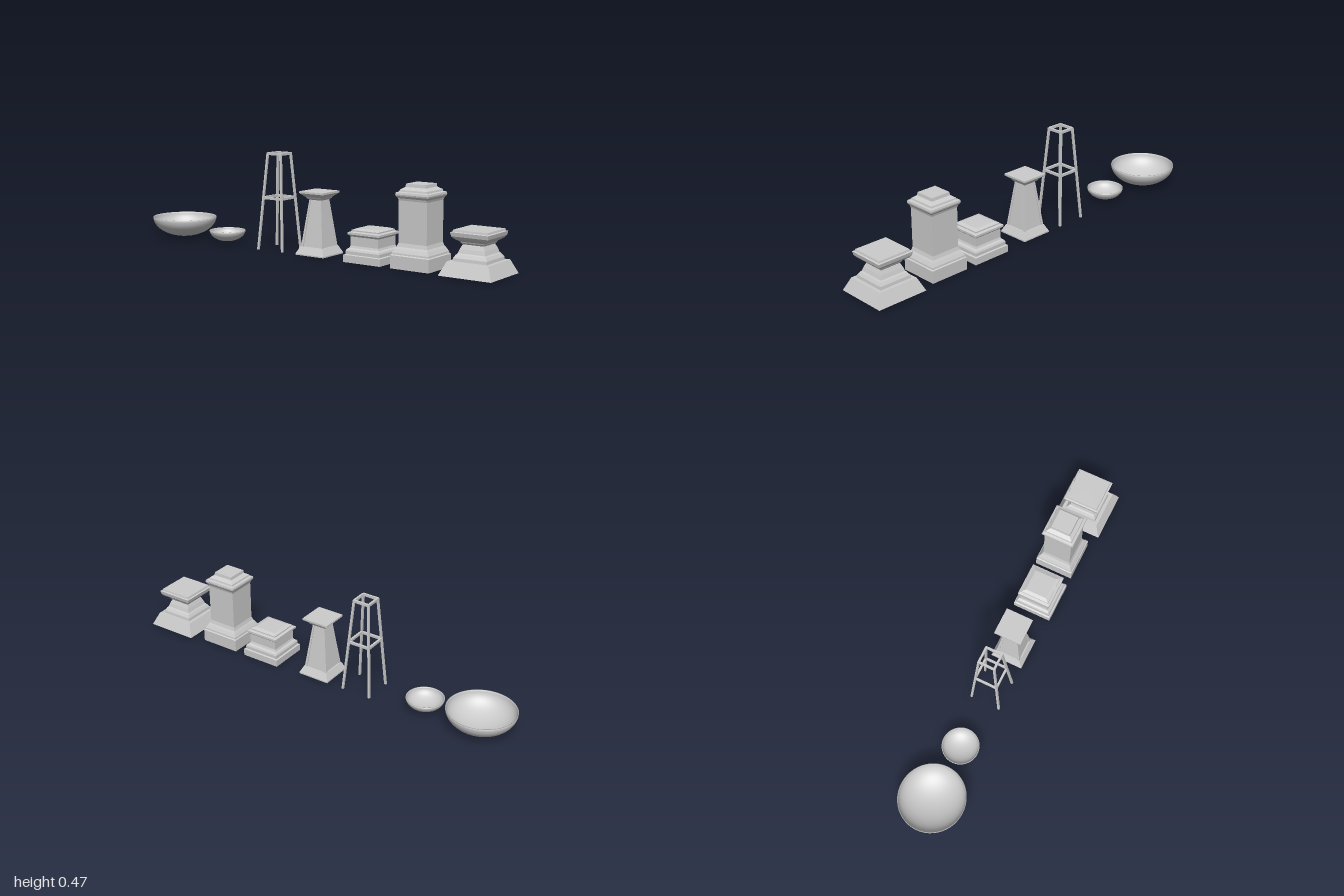
import * as THREE from 'three';

const smooth = new THREE.MeshStandardMaterial({ color: 0xcccccc, side: THREE.DoubleSide });
const flat = new THREE.MeshStandardMaterial({ color: 0xcccccc, flatShading: true });

// Square moulding: profile of [half width, height] swept round four sides
function squareLoft(name, profile, sx = 1, sz = 1) {
  const pts = [[0, profile[0][1]], ...profile, [0, profile[profile.length - 1][1]]]
    .map(([w, y]) => new THREE.Vector2(w * Math.SQRT2, y));
  const geo = new THREE.LatheGeometry(pts, 4, Math.PI / 4).toNonIndexed();
  geo.computeVertexNormals();
  geo.scale(sx, 1, sz);
  const mesh = new THREE.Mesh(geo, flat);
  mesh.name = name;
  return mesh;
}

// Thin-walled bowl with a rounded belly
function bowl(name, x, rx, rz, y0, y1) {
  const pts = [], steps = 16, wall = 0.004, h = y1 - y0;
  const arc = (r, d, i) => {
    const a = (i / steps) * Math.PI / 2;
    return new THREE.Vector2(r * Math.sin(a), y1 - d * Math.cos(a));
  };
  for (let i = 0; i <= steps; i++) pts.push(arc(rx, h, i));
  for (let i = steps; i >= 0; i--) pts.push(arc(rx - wall, h - wall, i));
  const mesh = new THREE.Mesh(new THREE.LatheGeometry(pts, 48), smooth);
  mesh.scale.z = rz / rx;
  mesh.position.x = x;
  mesh.name = name;
  return mesh;
}

// Square-section bar between two points
function bar(name, a, b, t, h = t) {
  const dir = b.clone().sub(a);
  const mesh = new THREE.Mesh(new THREE.BoxGeometry(t, h, dir.length()), flat);
  mesh.position.copy(a).add(b).multiplyScalar(0.5);
  mesh.lookAt(b);
  mesh.name = name;
  return mesh;
}

// Tall open stand: four splayed legs and two square frames
function stand() {
  const g = new THREE.Group();
  g.name = 'stand';
  const t = 0.01;
  const half = y => 0.073 - 0.073 * y;
  const corner = (i, y) => {
    const a = Math.PI / 4 + i * Math.PI / 2, r = half(y) * Math.SQRT2;
    return new THREE.Vector3(r * Math.cos(a), y, r * Math.sin(a));
  };
  for (let i = 0; i < 4; i++) {
    const foot = corner(i, 0), head = corner(i, 0.47);
    // sheared box keeps the leg section square to the axes
    const geo = new THREE.BoxGeometry(t, 0.47, t);
    const p = geo.attributes.position;
    for (let k = 0; k < p.count; k++) {
      const c = p.getY(k) < 0 ? foot : head;
      p.setXYZ(k, p.getX(k) + c.x, c.y, p.getZ(k) + c.z);
    }
    geo.computeVertexNormals();
    const leg = new THREE.Mesh(geo, flat);
    leg.name = 'standLeg';
    g.add(leg);
    g.add(bar('standTopRail', corner(i, 0.465), corner(i + 1, 0.465), t, 0.012));
    g.add(bar('standMiddleRail', corner(i, 0.252), corner(i + 1, 0.252), t, 0.012));
  }
  g.position.x = -0.217;
  return g;
}

// Tapered pedestal with raised corner strips and a flared cap
function taperedPedestal() {
  const g = new THREE.Group();
  g.name = 'taperedPedestal';
  g.add(squareLoft('taperedBase', [[0.081, 0], [0.081, 0.006], [0.064, 0.04]]));
  g.add(squareLoft('taperedBody', [[0.058, 0.035], [0.03, 0.268]]));
  const y0 = 0.038, y1 = 0.268, w0 = 0.062, w1 = 0.033;
  for (const sx of [-1, 1]) for (const sz of [-1, 1]) {
    const geo = new THREE.BoxGeometry(1, 1, 1);
    const p = geo.attributes.position;
    for (let k = 0; k < p.count; k++) {
      const top = p.getY(k) > 0, w = top ? w1 : w0, s = top ? 0.008 : 0.012;
      p.setXYZ(k, sx * (w - s / 2) + p.getX(k) * s, top ? y1 : y0, sz * (w - s / 2) + p.getZ(k) * s);
    }
    geo.computeVertexNormals();
    const strip = new THREE.Mesh(geo, flat);
    strip.name = 'taperedCornerStrip';
    g.add(strip);
  }
  g.add(squareLoft('taperedCap', [[0.034, 0.262], [0.042, 0.268], [0.046, 0.275],
    [0.062, 0.288], [0.068, 0.293], [0.068, 0.302]]));
  g.position.x = 0.022;
  return g;
}

export function createModel() {
  const model = new THREE.Group();
  model.name = 'pedestalsAndBowls';

  model.add(bowl('largeBowl', -0.836, 0.164, 0.16, 0.005, 0.104));
  model.add(bowl('smallBowl', -0.548, 0.09, 0.09, 0.005, 0.06));
  model.add(stand());
  model.add(taperedPedestal());

  // Low square plinth
  const low = squareLoft('lowPlinth', [[0.1, 0], [0.1, 0.034], [0.092, 0.037], [0.092, 0.052],
    [0.088, 0.06], [0.079, 0.066], [0.075, 0.076], [0.075, 0.118], [0.079, 0.124],
    [0.086, 0.128], [0.086, 0.138], [0.073, 0.142], [0.073, 0.148], [0.056, 0.155]], 1, 0.97);
  low.position.x = 0.327;
  model.add(low);

  // Tall plinth with stepped cap
  const tall = squareLoft('tallPlinth', [[0.1, 0], [0.1, 0.06], [0.095, 0.064], [0.094, 0.072],
    [0.085, 0.088], [0.078, 0.098], [0.073, 0.115], [0.073, 0.305], [0.076, 0.315],
    [0.083, 0.325], [0.085, 0.332], [0.083, 0.341], [0.072, 0.344], [0.07, 0.352],
    [0.052, 0.364], [0.05, 0.379]], 1, 0.965);
  tall.position.x = 0.58;
  model.add(tall);

  // Waisted plinth with spreading foot and flared top
  const waisted = squareLoft('waistedPlinth', [[0.128, 0.004], [0.1, 0.066], [0.083, 0.066],
    [0.081, 0.08], [0.072, 0.094], [0.066, 0.1], [0.06, 0.118], [0.051, 0.138], [0.057, 0.145],
    [0.059, 0.15], [0.079, 0.163], [0.088, 0.174], [0.092, 0.192], [0.084, 0.194], [0.082, 0.203]]);
  waisted.position.x = 0.872;
  model.add(waisted);

  return model;
}
